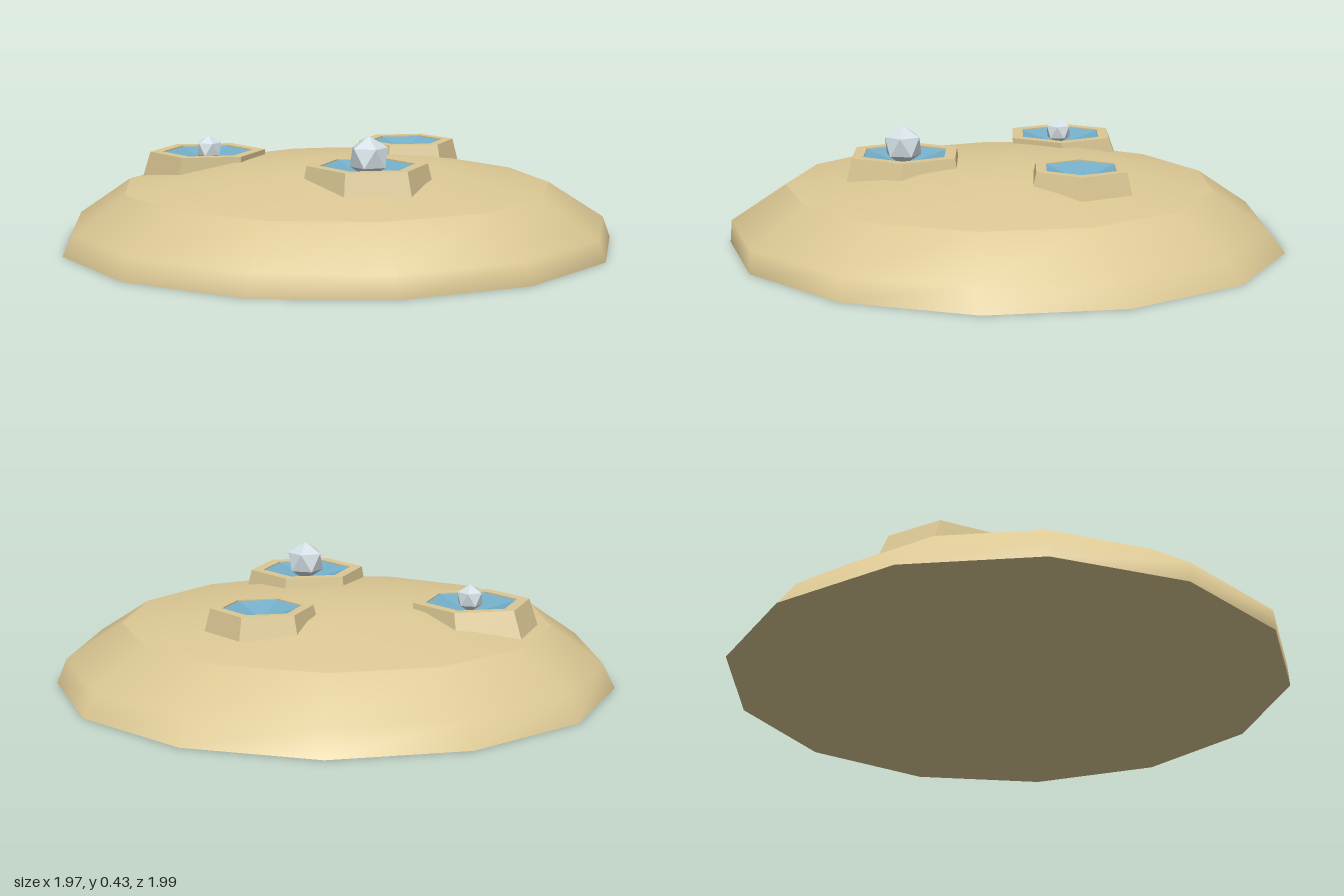
import * as THREE from 'three';
import { mergeVertices } from 'three/addons/utils/BufferGeometryUtils.js';

const material = (color, flatShading) => new THREE.MeshStandardMaterial({ color, flatShading });

// Skin between horizontal rings, each given as [radius, y, centreX, centreZ]
function loft(rings, sides) {
  const pos = [], index = [];
  for (const [r, y, cx = 0, cz = 0] of rings) {
    for (let i = 0; i < sides; i++) {
      const a = (i / sides) * Math.PI * 2;
      pos.push(cx + r * Math.cos(a), y, cz + r * Math.sin(a));
    }
  }
  for (let k = 0; k < rings.length - 1; k++) {
    for (let i = 0; i < sides; i++) {
      const j = (i + 1) % sides;
      const l0 = k * sides + i, l1 = k * sides + j;
      const h0 = l0 + sides, h1 = l1 + sides;
      if (rings[k][0] > 0) index.push(l0, h0, l1);
      if (rings[k + 1][0] > 0) index.push(l1, h0, h1);
    }
  }
  let g = new THREE.BufferGeometry();
  g.setAttribute('position', new THREE.Float32BufferAttribute(pos, 3));
  g.setIndex(index);
  g = mergeVertices(g, 1e-5);
  g.computeVertexNormals();
  return g;
}

export function createModel() {
  const group = new THREE.Group();
  const sand = material(0xdcc894, false);
  const sandFlat = material(0xdcc894, true);
  const water = material(0x74aec8, true);
  const pearl = material(0xd3dfe5, true);

  const add = (parent, name, geometry, mat) => {
    const mesh = new THREE.Mesh(geometry, mat);
    mesh.name = name;
    parent.add(mesh);
    return mesh;
  };

  // Low 13-sided mound: flat underside, rounded flank, shallow cap
  const rim = [1, 0, 0, 0];
  const shoulder = [0.77, 0.21, 0.02, 0.02];
  add(group, 'moundUnderside', loft([[0, 0], rim], 13), sand);
  add(group, 'moundFlank', loft([rim, [0.965, 0.08, 0.025, 0.015], shoulder], 13), sand);
  add(group, 'moundCap', loft([shoulder, [0.385, 0.288, 0.01, 0.01], [0, 0.308]], 13), sand);

  // Hexagonal rock pools, two of them holding a faceted orb
  const pools = [
    { x: 0.34, z: 0.14, top: 0.33, base: 0.235, r: 0.21, inner: 0.165, lean: 0.005, orb: 0.073, orbY: 0.357 },
    { x: -0.4, z: 0.29, top: 0.31, base: 0.2, r: 0.21, inner: 0.165, lean: -0.025, orb: 0.05, orbY: 0.318 },
    { x: -0.07, z: -0.385, top: 0.328, base: 0.25, r: 0.178, inner: 0.137, lean: 0, orb: 0 },
  ];
  for (const p of pools) {
    const pool = new THREE.Group();
    pool.name = 'rockPool';
    pool.position.set(p.x, 0, p.z);
    group.add(pool);

    add(pool, 'poolWall', loft([
      [p.r + 0.02, p.base, p.lean, 0],
      [p.r, p.top],
      [p.inner, p.top],
      [p.inner, p.top - 0.006],
    ], 6), sandFlat);
    add(pool, 'poolWater', loft([[p.inner, p.top - 0.004], [0, p.top - 0.045]], 6), water);

    if (p.orb) {
      const orb = add(pool, 'orb', new THREE.IcosahedronGeometry(p.orb, 0), pearl);
      orb.position.set(0.008, p.orbY, 0);
      orb.rotation.x = -Math.atan((1 + Math.sqrt(5)) / 2); // one corner straight up
    }
  }
  return group;
}
